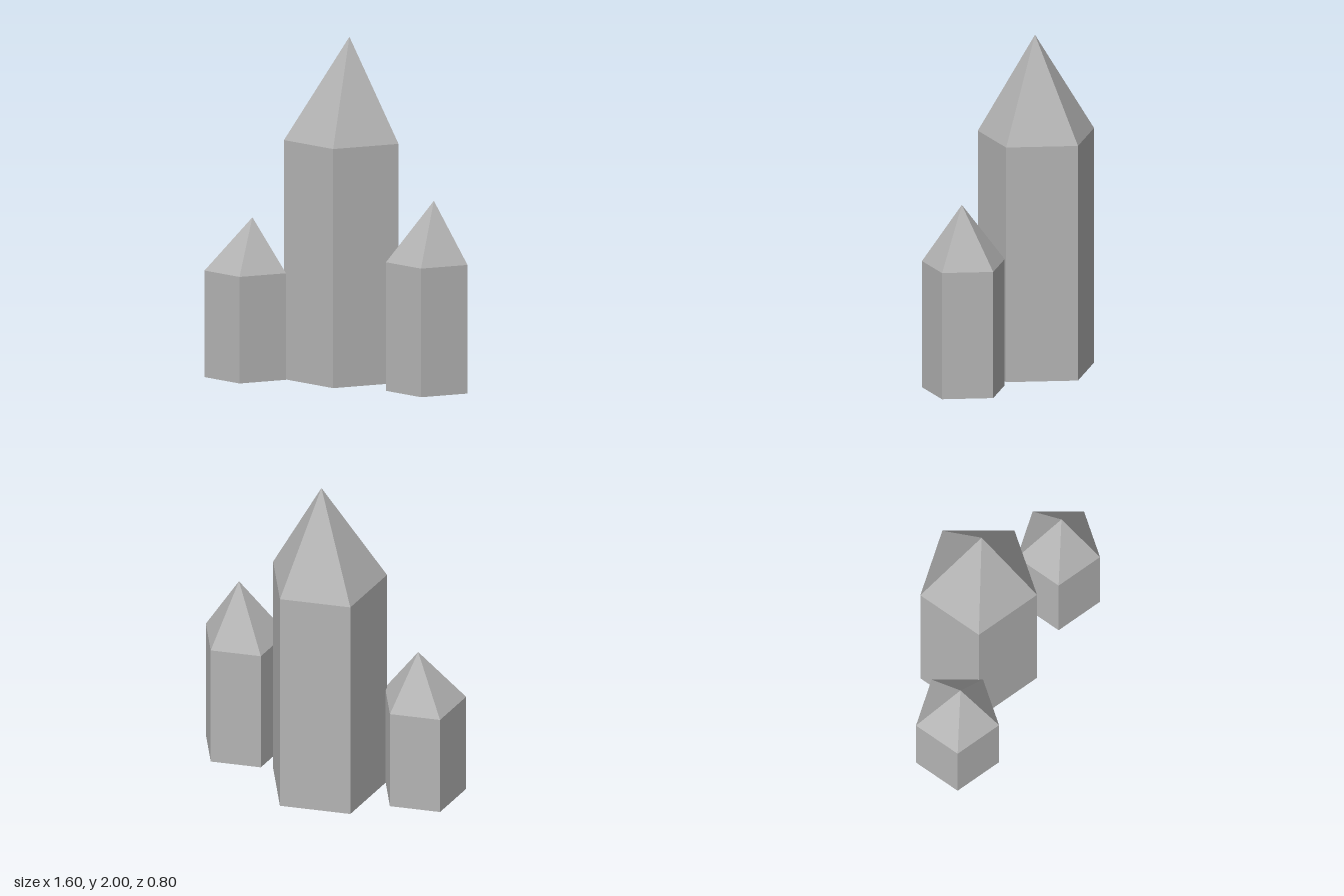
import * as THREE from 'three';

const SIDES = 5;
const TIP_SHIFT = 0.03; // each tip leans slightly towards +x

const stone = new THREE.MeshStandardMaterial({
  name: 'grey stone', color: 0xb4b4b4, flatShading: true, side: THREE.DoubleSide,
});

// One five-sided crystal, open at the bottom: straight shaft and pointed tip
function crystal(name, x, z, radius, shoulder, top) {
  const group = new THREE.Group();
  group.name = name;
  group.position.set(x, 0, z);

  const shaftGeo = new THREE.CylinderGeometry(radius, radius, shoulder, SIDES, 1, true, Math.PI / 2);
  shaftGeo.translate(0, shoulder / 2, 0);
  const shaft = new THREE.Mesh(shaftGeo, stone);
  shaft.name = 'shaft';

  const height = top - shoulder;
  const tipGeo = new THREE.ConeGeometry(radius, height, SIDES, 1, true, Math.PI / 2);
  const pos = tipGeo.attributes.position;
  for (let i = 0; i < pos.count; i++) {
    if (pos.getY(i) > 0) pos.setX(i, TIP_SHIFT);
  }
  tipGeo.translate(0, shoulder + height / 2, 0);
  tipGeo.computeVertexNormals();
  const tip = new THREE.Mesh(tipGeo, stone);
  tip.name = 'tip';

  group.add(shaft, tip);
  return group;
}

export function createModel() {
  const model = new THREE.Group();
  model.name = 'crystalCluster';
  model.add(
    crystal('tallCrystal', -0.079, -0.063, 0.354, 1.4, 2.0),
    crystal('leftCrystal', 0.544, 0.056, 0.252, 0.753, 1.11),
    crystal('rightCrystal', -0.596, 0.159, 0.252, 0.624, 0.933),
  );
  return model;
}
